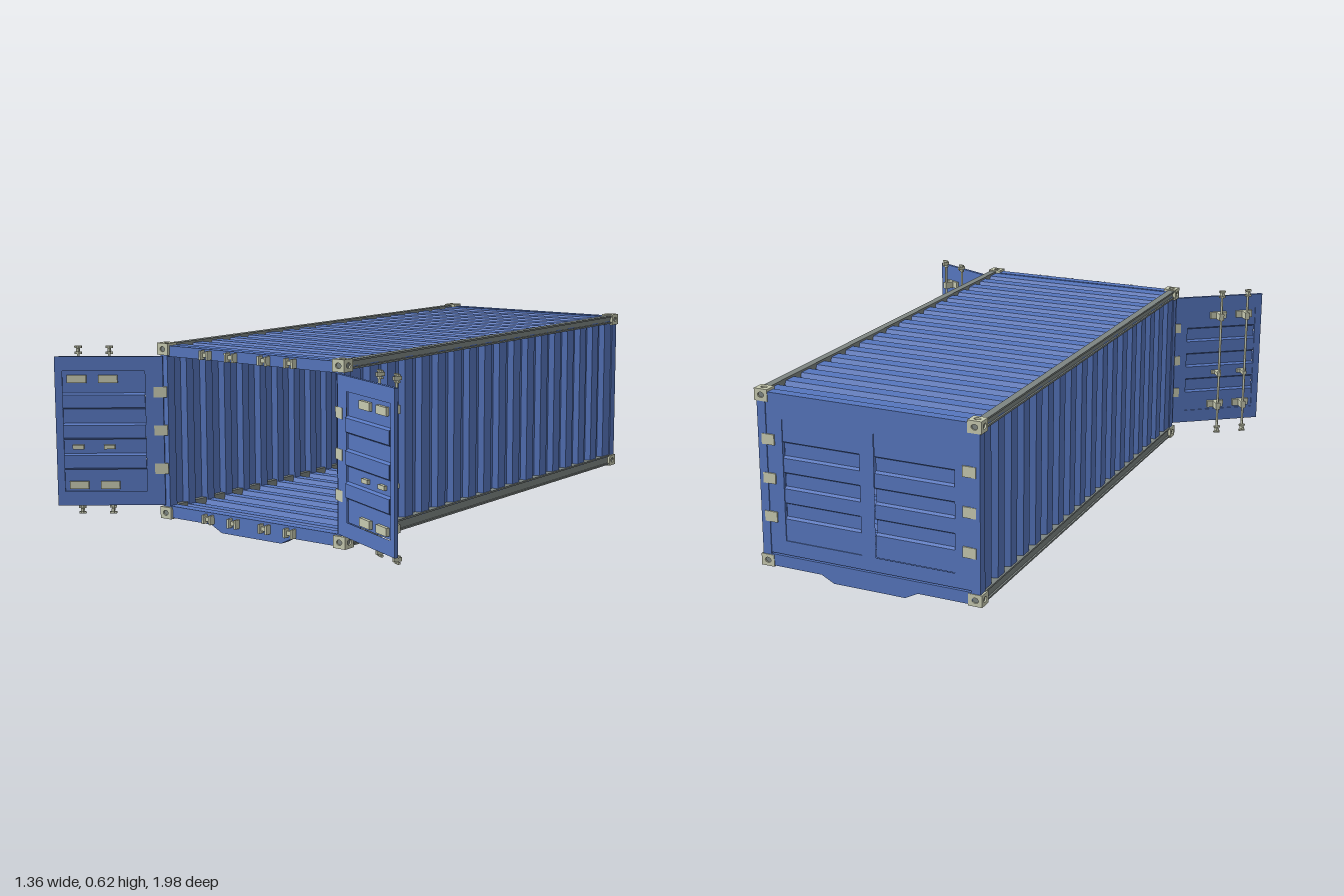
import * as THREE from 'three';

const mat = (name, color) => Object.assign(new THREE.MeshStandardMaterial({ color }), { name });
const V = (x, y, z) => new THREE.Vector3(x, y, z);

export function createModel() {
  const blue = mat('blue paint', 0x5676be);
  const cream = mat('cream fittings', 0xc6c9b0);
  const grey = mat('grey steel', 0x7d8582);

  const model = new THREE.Group();
  model.name = 'shippingContainer';
  const body = new THREE.Group();
  body.name = 'containerBody';
  body.position.set(-0.02, 0, -0.112);
  model.add(body);

  const add = (parent, name, geo, material, x = 0, y = 0, z = 0) => {
    const m = new THREE.Mesh(geo, material);
    m.name = name;
    m.position.set(x, y, z);
    parent.add(m);
    return m;
  };
  const box = (parent, name, material, w, h, d, x, y, z) =>
    add(parent, name, new THREE.BoxGeometry(w, h, d), material, x, y, z);
  const polygon = (pts) => new THREE.Shape(pts.map(([x, y]) => new THREE.Vector2(x, y)));
  const extrude = (shape, depth) =>
    new THREE.ExtrudeGeometry(shape, { depth, bevelEnabled: false, curveSegments: 8 })
      .translate(0, 0, -depth / 2);

  // Pressed sheet: runs along (out x across), grooves sink away from out
  const sheet = (length, across, centres, width, depth, slope, out, acrossDir) => {
    const top = [[-length / 2, 0]];
    for (const c of centres) {
      const h = width / 2;
      top.push([c - h, 0], [c - h + slope, -depth], [c + h - slope, -depth], [c + h, 0]);
    }
    top.push([length / 2, 0]);
    const under = top.map(([s, d]) => [s, d - 0.004]).reverse();
    const along = out.clone().cross(acrossDir);
    return extrude(polygon([...top, ...under]), across)
      .applyMatrix4(new THREE.Matrix4().makeBasis(along, out, acrossDir));
  };

  // Corrugated walls, roof and floor
  const grooves = Array.from({ length: 17 }, (_, i) => (i - 8) * 0.0957);
  const up = V(0, 1, 0), right = V(1, 0, 0);
  for (const s of [-1, 1]) {
    add(body, 'sideWall', sheet(1.73, 0.54, grooves, 0.05, 0.02, 0.008, V(s, 0, 0), up),
      blue, s * 0.382, 0.325, 0);
  }
  add(body, 'roof', sheet(1.73, 0.735, grooves, 0.048, 0.016, 0.007, up, right), blue, 0, 0.608, 0);
  add(body, 'floor', sheet(1.73, 0.735, grooves, 0.05, 0.02, 0.008, V(0, -1, 0), right), blue, 0, 0.032, 0);

  // Channel rails along the four long edges
  const rail = (s, y, h) => {
    const a = 0.362, b = 0.388, c = 0.382, k = h / 2, t = 0.006;
    const shape = polygon([[a, -k], [b, -k], [b, -k + t], [c, -k + t], [c, k - t], [b, k - t], [b, k], [a, k]]
      .map(([x, v]) => [x * s, v]));
    add(body, 'sideRail', extrude(shape, 1.69), grey, 0, y, 0);
  };
  for (const s of [-1, 1]) {
    rail(s, 0.6, 0.03);
    rail(s, 0.045, 0.038);
  }

  // Corner castings: dark core behind plates with oval holes
  const plate = (w, h) => {
    const shape = polygon([[-w / 2, -h / 2], [w / 2, -h / 2], [w / 2, h / 2], [-w / 2, h / 2]]);
    const hole = new THREE.Path();
    hole.absellipse(0, 0, 0.011, 0.009, 0, Math.PI * 2, true);
    shape.holes.push(hole);
    return extrude(shape, 0.006);
  };
  const casting = (x, y, z) => {
    const g = new THREE.Group();
    g.name = 'cornerCasting';
    g.position.set(x, y, z);
    const w = 0.047, h = 0.04, d = 0.045;
    box(g, 'castingCore', grey, w - 0.011, h - 0.011, d - 0.011, 0, 0, 0);
    for (const s of [-1, 1]) {
      add(g, 'castingPlate', plate(w, h), cream, 0, 0, s * (d / 2 - 0.003));
      add(g, 'castingPlate', plate(d, h).rotateY(Math.PI / 2), cream, s * (w / 2 - 0.003), 0, 0);
      add(g, 'castingPlate', plate(w, d).rotateX(Math.PI / 2), cream, 0, s * (h / 2 - 0.003), 0);
    }
    body.add(g);
  };
  for (const x of [-0.369, 0.369])
    for (const y of [0.042, 0.599])
      for (const z of [-0.857, 0.864]) casting(x, y, z);

  // End frames: posts, header and sill with a dropped middle
  const sillShape = polygon([[-0.36, 0.066], [-0.36, 0.026], [-0.172, 0.026], [-0.127, 0.003],
    [0.127, 0.003], [0.172, 0.026], [0.36, 0.026], [0.36, 0.066]]);
  const endFrame = (name, angle) => {
    const g = new THREE.Group();
    g.name = name;
    g.rotation.y = angle;
    for (const s of [-1, 1]) box(g, 'cornerPost', blue, 0.03, 0.53, 0.034, s * 0.371, 0.32, 0.86);
    box(g, 'header', blue, 0.71, 0.036, 0.036, 0, 0.593, 0.859);
    add(g, 'sill', extrude(sillShape, 0.036), blue, 0, 0, 0.859);
    body.add(g);
    return g;
  };

  // Door: s = 1 hinges on its left edge, s = -1 on its right; outside is +z
  const doorY = 0.3225;
  const door = (parent, name, s, x, z, angle, locked) => {
    const g = new THREE.Group();
    g.name = name;
    g.position.set(x, 0, z);
    g.rotation.y = angle;
    parent.add(g);
    const frame = polygon([[0, 0.07], [0.36, 0.07], [0.36, 0.575], [0, 0.575]].map(([u, y]) => [s * u, y]));
    frame.holes.push(polygon([[0.06, 0.118], [0.335, 0.118], [0.335, 0.527], [0.06, 0.527]]
      .map(([u, y]) => [s * u, y])));
    add(g, 'doorFrame', extrude(frame, 0.012), blue);
    add(g, 'doorPanel', sheet(0.409, 0.275, [-0.1025, 0, 0.1025], 0.055, 0.01, 0.006, V(0, 0, 1), right),
      blue, s * 0.1975, doorY, 0.003);
    for (const y of [0.195, 0.325, 0.455])
      box(g, 'hinge', cream, 0.045, 0.035, 0.018, s * 0.01, y, 0.002);
    if (!locked) return;

    // Locking bars with guide brackets and end cams
    for (const u of [0.183, 0.287]) {
      add(g, 'lockingBar', new THREE.CylinderGeometry(0.0045, 0.0045, 0.57, 10), cream, s * u, 0.318, 0.042);
      for (const y of [0.14, 0.5]) {
        box(g, 'bracketPlate', cream, 0.064, 0.026, 0.026, s * u, y, 0.001);
        box(g, 'barGuide', cream, 0.018, 0.026, 0.038, s * u, y, 0.031);
      }
      box(g, 'handleBracket', cream, 0.037, 0.014, 0.026, s * u, 0.27, 0.001);
      box(g, 'handleGuide', cream, 0.014, 0.014, 0.036, s * u, 0.27, 0.03);
      for (const y of [0.045, 0.592]) {
        box(g, 'camArm', cream, 0.009, 0.012, 0.028, s * u, y, 0.044);
        for (const e of [-1, 1]) box(g, 'camClaw', cream, 0.024, 0.007, 0.008, s * u, y + e * 0.01, 0.044);
      }
    }
  };

  const front = endFrame('frontFrame', 0);
  const back = endFrame('backFrame', Math.PI);
  const deg = Math.PI / 180;
  door(front, 'rightFrontDoor', 1, -0.37, 0.884, -143 * deg, true);
  door(front, 'leftFrontDoor', -1, 0.37, 0.884, 155 * deg, true);
  door(back, 'backDoor', 1, -0.36, 0.868, 0, false);
  door(back, 'backDoor', -1, 0.36, 0.868, 0, false);

  // Cam keepers on the front header and sill
  for (const [y, xs] of [[0.592, [-0.178, -0.068, 0.07, 0.178]], [0.044, [-0.178, -0.068, 0.064, 0.17]]]) {
    for (const x of xs) {
      box(front, 'keeperWeb', cream, 0.036, 0.014, 0.012, x, y, 0.882);
      for (const e of [-1, 1]) box(front, 'keeperCheek', cream, 0.008, 0.03, 0.022, x + e * 0.015, y, 0.887);
    }
  }
  return model;
}
